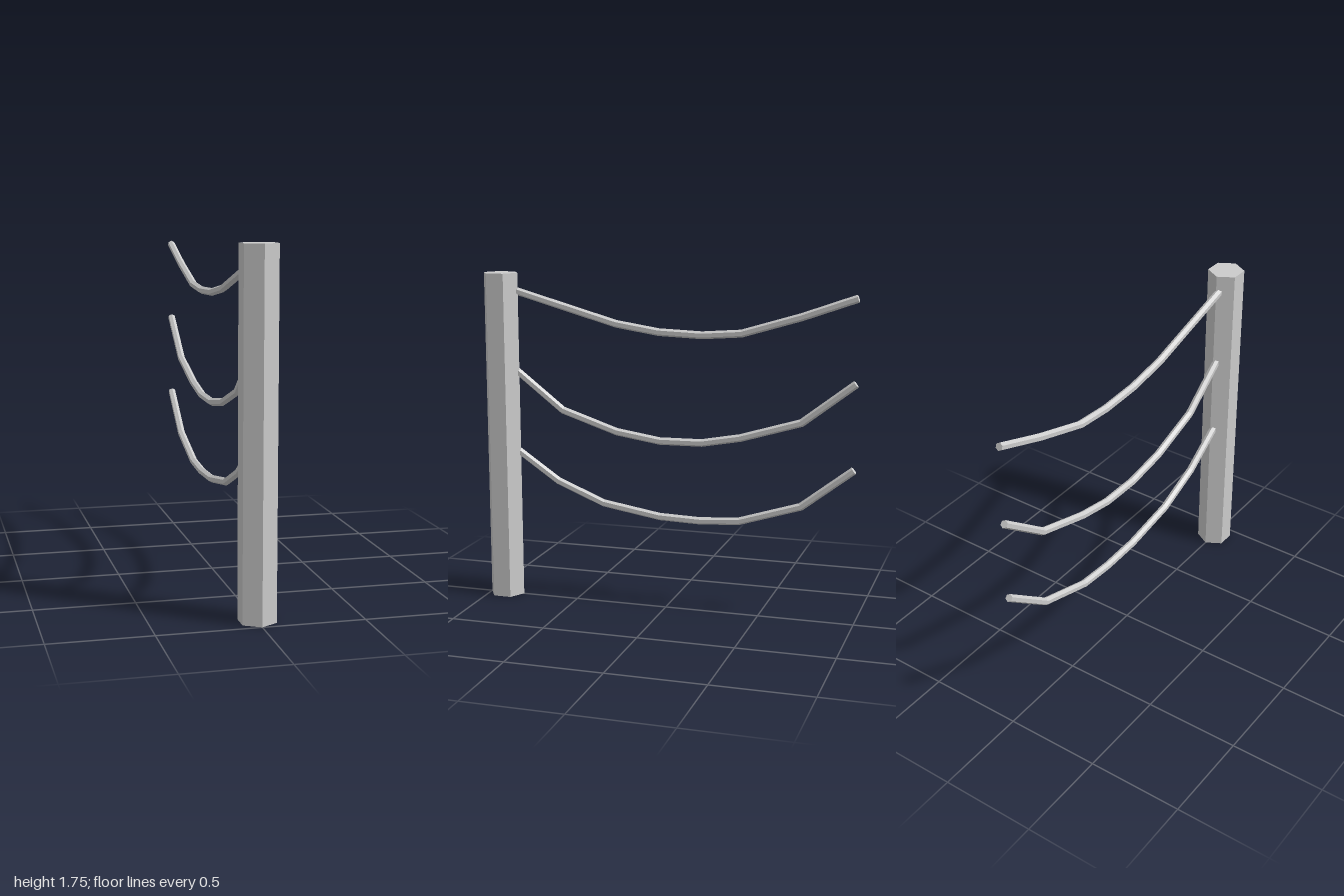
import * as THREE from 'three';

const material = new THREE.MeshStandardMaterial({ color: 0xcccccc, flatShading: true });

// Hexagonal rope: bends a six-sided cylinder along a [z, y] polyline with mitred joints
function ropeGeometry(points, radius) {
  const path = points.map(([z, y]) => new THREE.Vector3(0, y, z));
  const last = path.length - 1;
  const xAxis = new THREE.Vector3(1, 0, 0);
  const direction = (a, b) => path[a].clone().sub(path[b]).normalize();

  const normals = path.map((_, i) => {
    const before = direction(Math.max(i - 1, 0), Math.max(i, 1));
    const after = direction(Math.min(i, last - 1), Math.min(i + 1, last));
    const tangent = before.clone().add(after).normalize();
    return xAxis.clone().cross(tangent).divideScalar(tangent.dot(after));
  });

  const geometry = new THREE.CylinderGeometry(radius, radius, 1, 6, last);
  const position = geometry.attributes.position;
  const v = new THREE.Vector3();
  for (let k = 0; k < position.count; k++) {
    v.fromBufferAttribute(position, k);
    const ring = Math.round((0.5 - v.y) * last);
    const p = path[ring].clone().addScaledVector(normals[ring], v.z);
    position.setXYZ(k, v.x, p.y, p.z);
  }
  geometry.computeVertexNormals();
  return geometry;
}

export function createModel() {
  const group = new THREE.Group();

  // Hexagonal post
  const post = new THREE.Mesh(new THREE.CylinderGeometry(0.095, 0.095, 1.75, 6), material);
  post.name = 'post';
  post.position.set(0, 0.875, 0.905);
  group.add(post);

  // Sagging ropes, each starting just inside the post
  const ropes = {
    topRope: [[0.84, 1.66], [0.27, 1.5], [0.04, 1.465], [-0.19, 1.457], [-0.395, 1.473], [-0.7, 1.565], [-0.98, 1.665]],
    middleRope: [[0.84, 1.243], [0.57, 1.033], [0.27, 0.933], [0.035, 0.897], [-0.19, 0.9], [-0.395, 0.938], [-0.71, 1.033], [-0.98, 1.242]],
    bottomRope: [[0.84, 0.81], [0.6, 0.647], [0.345, 0.543], [0.035, 0.492], [-0.19, 0.485], [-0.395, 0.5], [-0.715, 0.6], [-0.98, 0.805]],
  };
  for (const [name, points] of Object.entries(ropes)) {
    const rope = new THREE.Mesh(ropeGeometry(points, 0.02), material);
    rope.name = name;
    rope.position.x = -0.009;
    group.add(rope);
  }

  return group;
}
